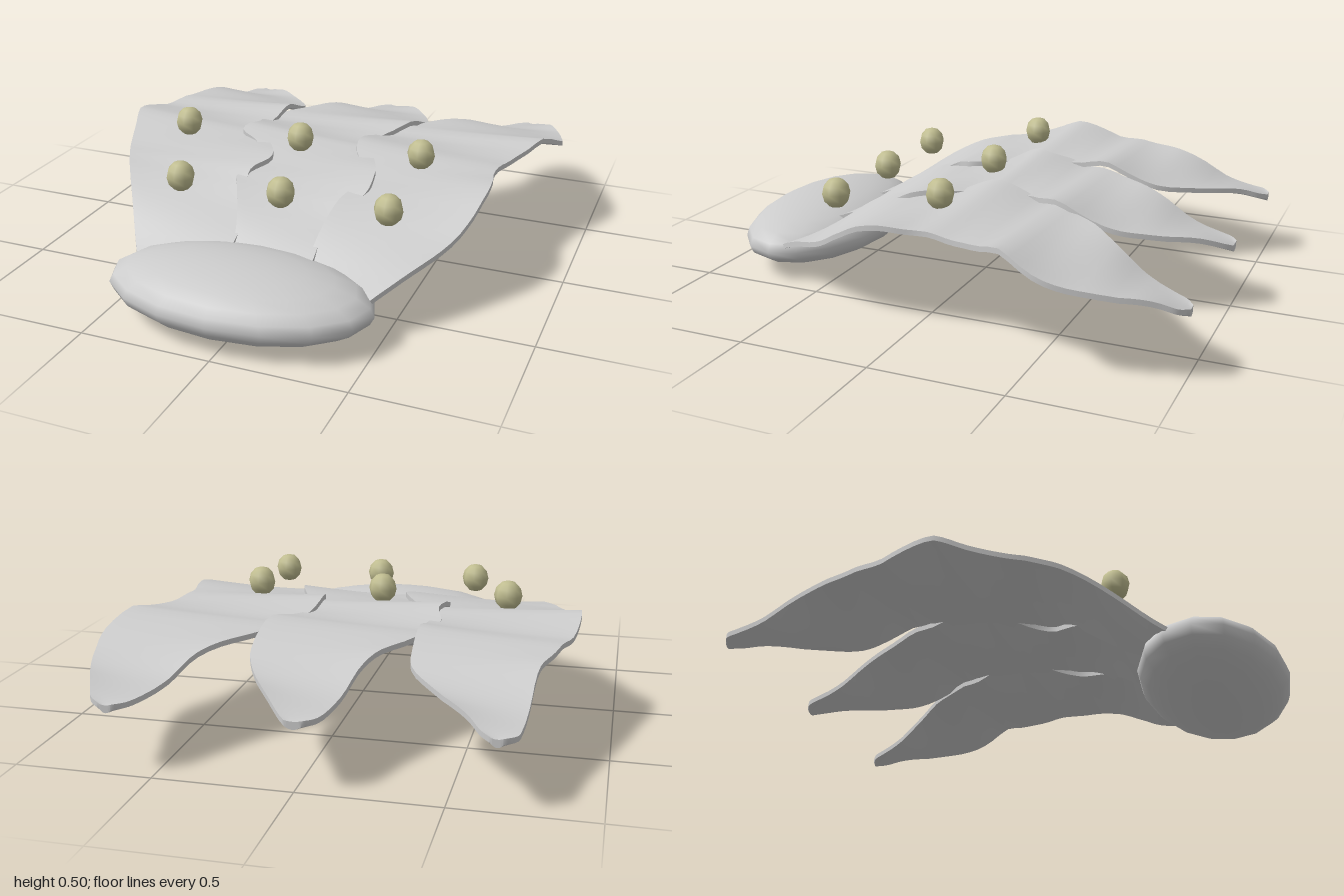
import * as THREE from 'three';
import { toCreasedNormals } from 'three/addons/utils/BufferGeometryUtils.js';

const grey = new THREE.MeshStandardMaterial({ color: 0xcccccc });
const beadMaterial = new THREE.MeshStandardMaterial({ color: 0xc0bd90 });

// Arched, rippled height of the fronds along z: [z, y]
const arch = [[0.72, 0.1], [0.66, 0.13], [0.6, 0.16], [0.5, 0.215], [0.4, 0.265], [0.3, 0.315], [0.2, 0.35],
  [0.1, 0.365], [0, 0.375], [-0.1, 0.395], [-0.2, 0.38], [-0.3, 0.37], [-0.4, 0.385], [-0.5, 0.36],
  [-0.6, 0.34], [-0.7, 0.315], [-0.8, 0.28], [-0.9, 0.26], [-1, 0.235]];

function archHeight(z) {
  for (let i = 1; i < arch.length; i++) {
    const [z0, y0] = arch[i - 1], [z1, y1] = arch[i];
    if (z >= z1) return THREE.MathUtils.lerp(y0, y1, (z - z0) / (z1 - z0));
  }
  return arch[arch.length - 1][1];
}

// Outline of each frond from root to tip: [z, left edge x, right edge x]
const outlines = {
  rightFrond: [[0.7, -0.43, -0.14], [0.6, -0.5, -0.12], [0.45, -0.595, -0.13], [0.3, -0.69, -0.18], [0.22, -0.735, -0.2],
    [0.13, -0.78, -0.15], [0, -0.83, -0.21], [-0.1, -0.862, -0.29], [-0.25, -0.855, -0.31], [-0.4, -0.815, -0.3],
    [-0.52, -0.785, -0.3], [-0.62, -0.755, -0.315], [-0.8, -0.74, -0.45], [-0.92, -0.73, -0.56],
    [-0.97, -0.72, -0.6], [-1, -0.68, -0.64]],
  middleFrond: [[0.7, -0.12, 0.2], [0.57, -0.12, 0.2], [0.45, -0.15, 0.19], [0.3, -0.22, 0.2], [0.25, -0.24, 0.28],
    [0.13, -0.2, 0.28], [0, -0.27, 0.23], [-0.06, -0.36, 0.2], [-0.15, -0.33, 0.18], [-0.25, -0.355, 0.18],
    [-0.4, -0.31, 0.26], [-0.58, -0.2, 0.275], [-0.7, -0.15, 0.235], [-0.85, -0.11, 0.15],
    [-0.97, -0.07, 0.06], [-1, -0.03, 0.03]],
  leftFrond: [[0.7, 0.16, 0.43], [0.6, 0.17, 0.51], [0.45, 0.18, 0.61], [0.3, 0.2, 0.69], [0.15, 0.23, 0.72],
    [0.05, 0.2, 0.715], [-0.05, 0.14, 0.7], [-0.2, 0.14, 0.73], [-0.35, 0.2, 0.79], [-0.53, 0.31, 0.86],
    [-0.68, 0.44, 0.835], [-0.8, 0.5, 0.795], [-0.92, 0.56, 0.74], [-0.97, 0.59, 0.715], [-1, 0.63, 0.67]],
};

// A thin closed sheet swept through cross-sections from root to tip
function frondGeometry(outline) {
  const rows = 56, across = 12, half = 0.014, ring = across * 2;
  const curve = new THREE.CatmullRomCurve3(outline.map(([z, l, r]) => new THREE.Vector3(l, r, z)), false, 'centripetal');
  const positions = [], index = [];
  for (let i = 0; i <= rows; i++) {
    const { x: left, y: right, z } = curve.getPoint(i / rows);
    for (let j = 0; j < ring; j++) {
      const top = j < across;
      const u = ((top ? j : ring - 1 - j) / (across - 1)) * 2 - 1;
      // Neighbouring edges lift and dip alternately so the fronds interleave
      const sway = 0.016 * u * Math.sin(4 * Math.PI * z);
      const curl = 0.008 * u * u;
      const thickness = half * (1 - 0.3 * u * u);
      positions.push(left + (right - left) * (u + 1) / 2, archHeight(z) + sway + curl + (top ? thickness : -thickness), z);
    }
  }
  for (let i = 0; i < rows; i++) {
    for (let j = 0; j < ring; j++) {
      const a = i * ring + j, b = i * ring + (j + 1) % ring;
      index.push(a, b, a + ring, b, b + ring, a + ring);
    }
  }
  // Close the root and the tip
  for (let j = 0; j < across - 1; j++) {
    const a = j, b = j + 1, c = ring - 2 - j, d = ring - 1 - j, t = rows * ring;
    index.push(a, d, b, b, d, c, t + a, t + b, t + d, t + b, t + c, t + d);
  }
  const geometry = new THREE.BufferGeometry();
  geometry.setAttribute('position', new THREE.Float32BufferAttribute(positions, 3));
  geometry.setIndex(index);
  return toCreasedNormals(geometry, 0.8);
}

export function createModel() {
  const model = new THREE.Group();

  // Flattened oval base
  const base = new THREE.Mesh(new THREE.SphereGeometry(1, 16, 12), grey);
  base.name = 'base';
  base.scale.set(0.505, 0.123, 0.28);
  base.position.set(-0.015, 0.124, 0.72);
  model.add(base);

  // Three overlapping fronds
  for (const [name, outline] of Object.entries(outlines)) {
    const frond = new THREE.Mesh(frondGeometry(outline), grey);
    frond.name = name;
    model.add(frond);
  }

  // Two rows of beads above the fronds
  const beads = new THREE.Group();
  beads.name = 'beads';
  const beadGeometry = new THREE.SphereGeometry(0.055, 8, 6);
  const beadRows = [{ y: 0.44, z: 0, xs: [-0.575, -0.08, 0.42] }, { y: 0.393, z: 0.43, xs: [-0.39, 0.02, 0.435] }];
  for (const { y, z, xs } of beadRows) {
    for (const x of xs) {
      const bead = new THREE.Mesh(beadGeometry, beadMaterial);
      bead.name = 'bead';
      bead.scale.y = 1.08;
      bead.position.set(x, y, z);
      beads.add(bead);
    }
  }
  model.add(beads);
  return model;
}
